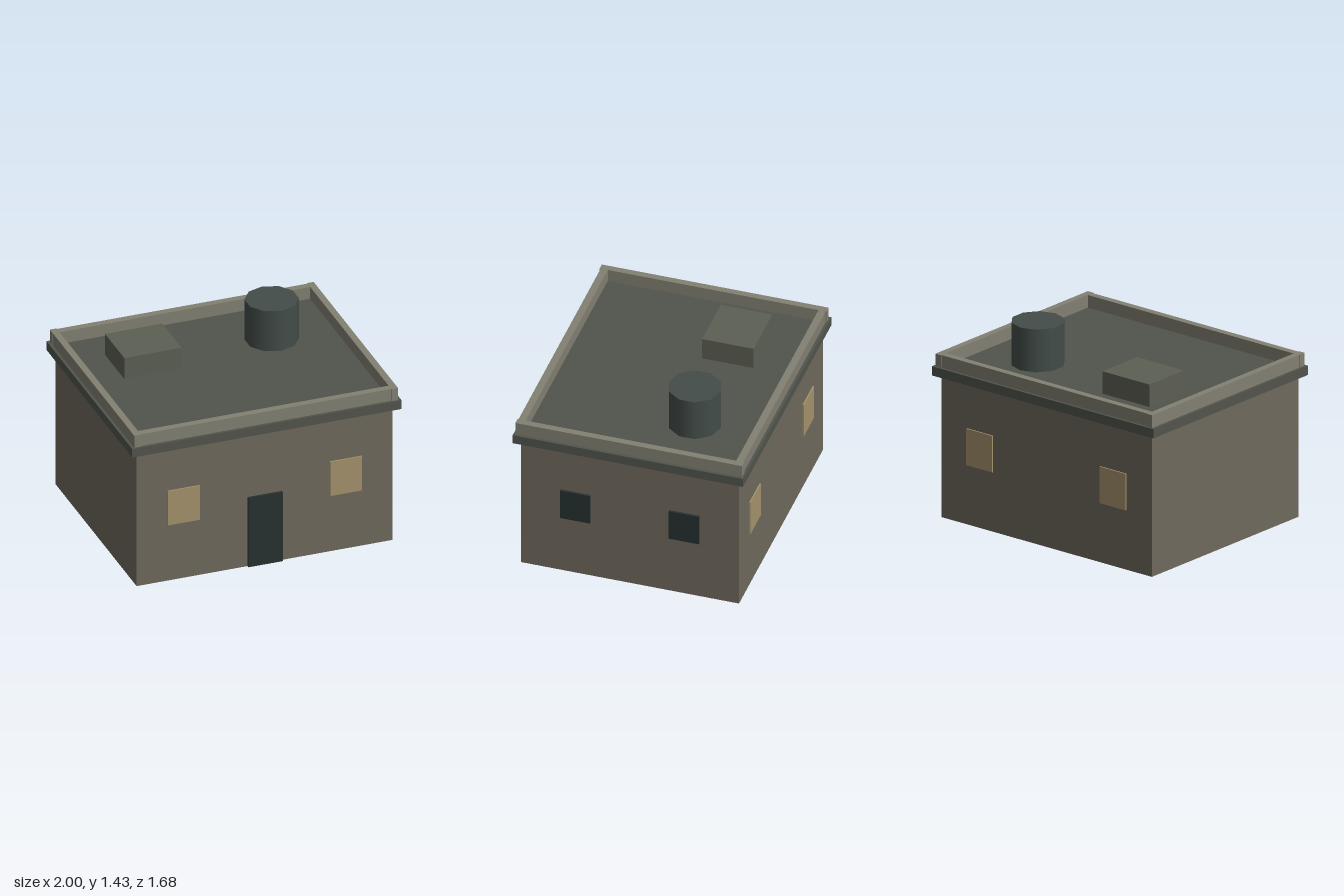
import * as THREE from 'three';

const material = (color) => new THREE.MeshStandardMaterial({ color });

export function createModel() {
  const house = new THREE.Group();
  house.name = 'flatRoofHouse';

  const wall = material(0x6e695c);
  const slab = material(0x51544c);
  const trim = material(0x828072);
  const dark = material(0x263130);
  const lit = material(0xa4926c);
  const metal = material(0x434d49);
  const hatch = material(0x5c5f53);

  // Box given by its limits on each axis
  function box(name, mat, [x0, x1], [y0, y1], [z0, z1]) {
    const mesh = new THREE.Mesh(new THREE.BoxGeometry(x1 - x0, y1 - y0, z1 - z0), mat);
    mesh.position.set((x0 + x1) / 2, (y0 + y1) / 2, (z0 + z1) / 2);
    mesh.name = name;
    house.add(mesh);
    return mesh;
  }

  // Body and overhanging roof slab
  box('walls', wall, [-0.95, 0.95], [0, 1.05], [-0.795, 0.795]);
  box('roofSlab', slab, [-1, 1], [1.047, 1.115], [-0.84, 0.84]);

  // Parapet: the side walls run slightly past the front and back ones
  for (const s of [-1, 1]) {
    const end = s > 0 ? 'front' : 'back';
    const side = s > 0 ? 'left' : 'right';
    const span = (a, b) => (s > 0 ? [a, b] : [-b, -a]);
    box(end + 'Parapet', trim, [-0.98, 0.98], [1.115, 1.208], span(0.768, 0.82));
    box(side + 'Parapet', trim, span(0.93, 0.979), [1.115, 1.209], [-0.827, 0.827]);
  }

  // Lit windows on front and back
  for (const z of [-0.795, 0.795]) {
    for (const x of [-0.602, 0.602]) {
      box(z > 0 ? 'frontWindow' : 'backWindow', lit,
        [x - 0.118, x + 0.118], [0.44, 0.71], [z - 0.01, z + 0.01]);
    }
  }

  // Dark windows on the left wall only
  for (const z of [-0.397, 0.397]) {
    box('sideWindow', dark, [0.935, 0.966], [0.455, 0.69], [z - 0.11, z + 0.11]);
  }

  // Door
  box('door', dark, [-0.128, 0.128], [0, 0.545], [0.775, 0.814]);

  // Roof hatch and ten-sided water tank
  box('roofHatch', hatch, [-0.69, -0.265], [1.115, 1.28], [-0.51, -0.133]);
  const tank = new THREE.Mesh(new THREE.CylinderGeometry(0.19, 0.19, 0.315, 10), metal);
  tank.name = 'waterTank';
  tank.position.set(0.475, 1.2725, -0.32);
  house.add(tank);

  return house;
}
